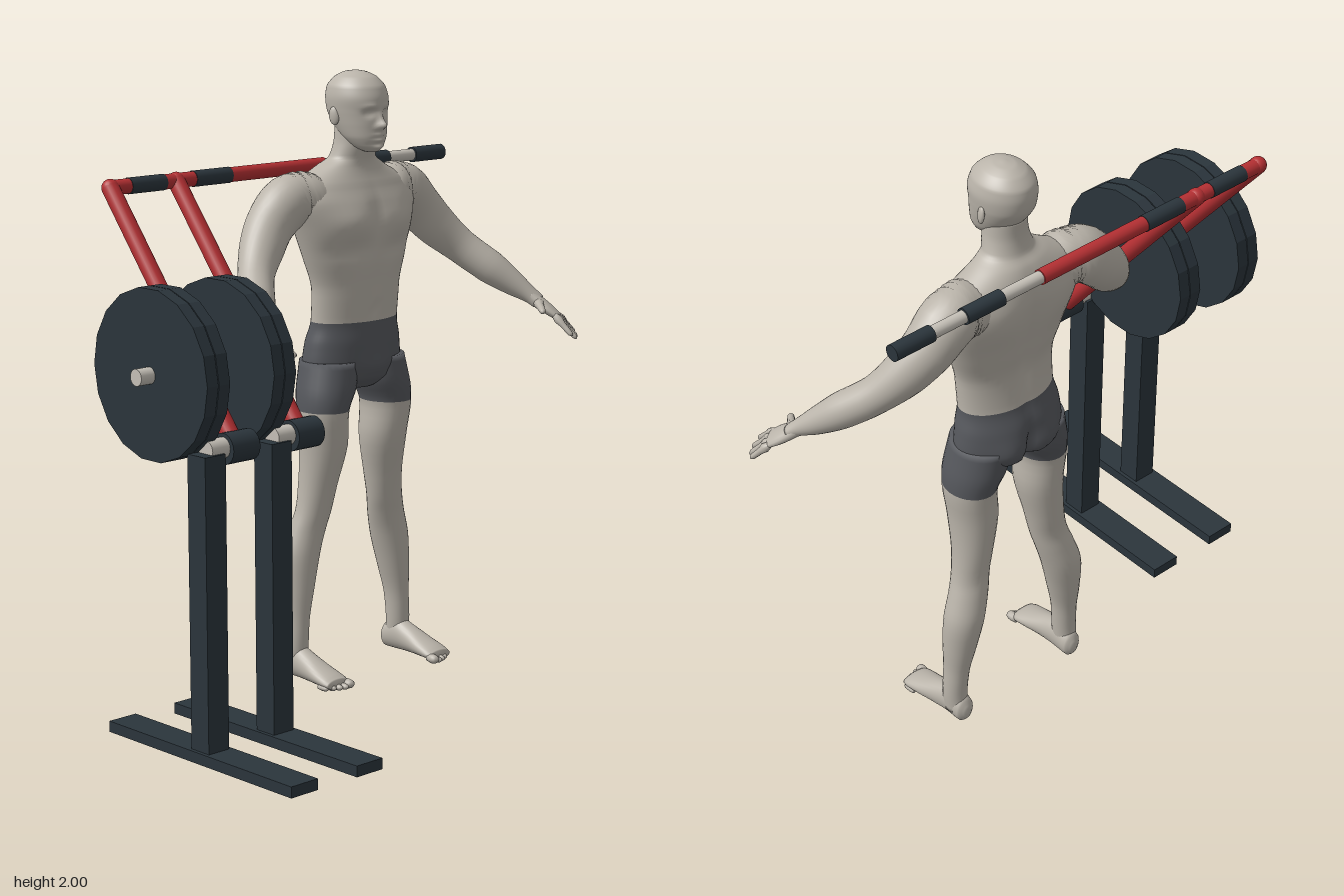
import * as THREE from 'three';
import { mergeGeometries } from 'three/addons/utils/BufferGeometryUtils.js';

const V = (x, y, z) => new THREE.Vector3(x, y, z);
const X = V(1, 0, 0), Y = V(0, 1, 0), Z = V(0, 0, 1);

// Smooth skin through elliptical rings [cx, cy, cz, a, b]; rows past ring "split" use the second material
function loft(rings, { dir = null, hint = X, n = 28, sub = 4, split = 0 } = {}) {
  const path = new THREE.CatmullRomCurve3(rings.map(r => V(r[0], r[1], r[2])));
  const size = new THREE.CatmullRomCurve3(rings.map(r => V(r[3], r[4], 0)));
  const rows = (rings.length - 1) * sub, pos = [], idx = [];
  for (let i = 0; i <= rows; i++) {
    const c = path.getPoint(i / rows), s = size.getPoint(i / rows);
    const t = dir || path.getTangent(i / rows);
    const u = hint.clone().addScaledVector(t, -hint.dot(t)).normalize();
    const v = u.clone().cross(t);
    for (let j = 0; j < n; j++) {
      const a = j / n * Math.PI * 2;
      const p = c.clone().addScaledVector(u, s.x * Math.cos(a)).addScaledVector(v, s.y * Math.sin(a));
      pos.push(p.x, p.y, p.z);
    }
  }
  const first = (rows + 1) * n;
  for (const i of [0, rings.length - 1]) pos.push(...rings[i].slice(0, 3));
  for (let j = 0; j < n; j++) idx.push(first, j, (j + 1) % n);
  for (let i = 0; i < rows; i++) for (let j = 0; j < n; j++) {
    const a = i * n + j, b = i * n + (j + 1) % n;
    idx.push(a, a + n, b, b, a + n, b + n);
  }
  for (let j = 0; j < n; j++) idx.push(first + 1, rows * n + (j + 1) % n, rows * n + j);
  const g = new THREE.BufferGeometry();
  g.setAttribute('position', new THREE.Float32BufferAttribute(pos, 3));
  g.setIndex(idx);
  if (split) {
    const cut = n * 3 + split * sub * n * 6;
    g.addGroup(0, cut, 0);
    g.addGroup(cut, idx.length - cut, 1);
  }
  g.computeVertexNormals();
  return g;
}

// Push the surface along z by soft mirrored bumps [x, y, widthX, widthY, side, amount]
function sculpt(g, zMid, bumps) {
  const p = g.attributes.position;
  for (let i = 0; i < p.count; i++) {
    const x = Math.abs(p.getX(i)), y = p.getY(i), z = p.getZ(i);
    let d = 0;
    for (const [bx, by, sx, sy, side, k] of bumps) {
      const f = Math.min(1, Math.max(0, (z - zMid) * side / 0.05));
      d += f * k * Math.exp(-(((x - bx) / sx) ** 2) - ((y - by) / sy) ** 2);
    }
    p.setZ(i, z + d);
  }
  g.computeVertexNormals();
  return g;
}

function mirrored(g) {
  const m = g.clone().scale(-1, 1, 1), ix = m.index;
  for (let i = 0; i < ix.count; i += 3) {
    const b = ix.getX(i + 1);
    ix.setX(i + 1, ix.getX(i + 2));
    ix.setX(i + 2, b);
  }
  m.computeVertexNormals();
  return m;
}

export function createModel() {
  const colour = (name, hex) => {
    const m = new THREE.MeshStandardMaterial({ color: hex });
    m.name = name;
    return m;
  };
  const skin = colour('skin', 0xbab4aa), shorts = colour('shorts grey', 0x56585d);
  const dark = colour('dark steel', 0x2b353c), red = colour('red paint', 0xb53033);
  const pale = colour('pale steel', 0xc6c1b8);
  const root = new THREE.Group(), man = new THREE.Group(), machine = new THREE.Group();
  man.name = 'man';
  man.position.x = 0.22;
  machine.name = 'liftingMachine';
  root.add(man, machine);
  const add = (parent, name, geo, mat) => {
    const m = new THREE.Mesh(geo, mat);
    m.name = name;
    parent.add(m);
    return m;
  };
  const pair = (name, geo, mat) => {
    add(man, 'left' + name, geo, mat);
    add(man, 'right' + name, mirrored(geo), mat);
  };
  const slice = ([y, a, zf, zb]) => [0, y, (zf + zb) / 2, a, (zf - zb) / 2];

  // Torso from crotch to neck, shorts below the waist
  const torso = loft([
    [0.965, 0.07, -0.28, -0.40], [1.0, 0.165, -0.25, -0.455], [1.05, 0.193, -0.237, -0.467],
    [1.12, 0.185, -0.235, -0.462], [1.19, 0.171, -0.24, -0.44], [1.30, 0.176, -0.235, -0.43],
    [1.40, 0.206, -0.225, -0.45], [1.50, 0.238, -0.222, -0.47], [1.58, 0.262, -0.235, -0.475],
    [1.64, 0.225, -0.26, -0.465], [1.69, 0.135, -0.28, -0.44], [1.72, 0.084, -0.28, -0.415],
    [1.77, 0.07, -0.27, -0.402], [1.83, 0.065, -0.27, -0.40]].map(slice),
  { dir: Y, n: 56, sub: 5, split: 4 });
  sculpt(torso, -0.345, [
    [0.10, 1.52, 0.085, 0.055, 1, 0.02], [0, 1.52, 0.02, 0.08, 1, -0.01], [0.1, 1.43, 0.08, 0.025, 1, -0.008],
    [0, 1.225, 0.012, 0.012, 1, -0.012], [0.05, 1.33, 0.04, 0.08, 1, 0.006], [0, 1.03, 0.05, 0.05, 1, 0.012],
    [0, 1.40, 0.025, 0.2, -1, 0.018], [0.13, 1.54, 0.07, 0.07, -1, -0.012],
    [0.085, 1.04, 0.06, 0.06, -1, -0.018], [0, 1.03, 0.02, 0.07, -1, 0.03]]);
  add(man, 'torso', torso, [shorts, skin]);

  // Head with face shaped from the same skin
  const head = loft([
    [1.742, 0.022, -0.235, -0.28], [1.76, 0.05, -0.22, -0.33], [1.79, 0.07, -0.215, -0.37],
    [1.83, 0.082, -0.215, -0.405], [1.87, 0.09, -0.215, -0.43], [1.91, 0.094, -0.213, -0.436],
    [1.95, 0.087, -0.226, -0.43], [1.98, 0.062, -0.256, -0.402], [1.995, 0.032, -0.29, -0.37],
    [2.0, 0.006, -0.325, -0.335]].map(slice), { dir: Y, n: 72, sub: 6 });
  sculpt(head, -0.30, [
    [0, 1.83, 0.012, 0.014, 1, 0.026], [0, 1.85, 0.009, 0.022, 1, 0.012], [0.014, 1.825, 0.009, 0.008, 1, 0.007],
    [0.035, 1.869, 0.016, 0.012, 1, -0.014], [0.035, 1.868, 0.009, 0.005, 1, 0.006],
    [0.034, 1.89, 0.024, 0.008, 1, 0.006], [0, 1.798, 0.022, 0.006, 1, 0.008], [0, 1.782, 0.02, 0.006, 1, 0.007],
    [0, 1.79, 0.026, 0.003, 1, -0.004], [0, 1.768, 0.03, 0.006, 1, -0.005], [0, 1.755, 0.02, 0.01, 1, 0.006]]);
  add(man, 'head', head, skin);
  const ear = new THREE.SphereGeometry(1, 14, 10).scale(0.009, 0.03, 0.018);
  ear.rotateY(-0.35).rotateX(-0.15).translate(0.091, 1.857, -0.335);
  pair('Ear', ear, skin);

  // Legs, skin up to the hem and shorts above
  pair('Leg', loft([
    [0.235, 0.04, -0.378, 0.035, 0.042], [0.235, 0.1, -0.373, 0.039, 0.041], [0.23, 0.2, -0.375, 0.04, 0.045],
    [0.22, 0.3, -0.38, 0.053, 0.056], [0.203, 0.42, -0.384, 0.067, 0.063], [0.18, 0.5, -0.376, 0.066, 0.058],
    [0.163, 0.56, -0.365, 0.064, 0.056], [0.148, 0.65, -0.358, 0.066, 0.065], [0.135, 0.78, -0.345, 0.077, 0.084],
    [0.142, 0.9, -0.34, 0.08, 0.095], [0.12, 0.98, -0.345, 0.093, 0.107], [0.105, 1.06, -0.35, 0.09, 0.105]],
  { dir: Y, split: 9 }), [skin, shorts]);

  // Feet with five toes
  const foot = [loft([
    [0.23, 0.042, -0.432, 0.012, 0.018], [0.231, 0.047, -0.415, 0.034, 0.044], [0.232, 0.058, -0.36, 0.038, 0.055],
    [0.235, 0.048, -0.30, 0.042, 0.045], [0.236, 0.035, -0.24, 0.049, 0.032], [0.236, 0.025, -0.19, 0.051, 0.022],
    [0.236, 0.02, -0.168, 0.046, 0.016]], { dir: Z })];
  for (let i = 0; i < 5; i++) {
    const r = i ? 0.0105 : 0.016;
    foot.push(loft([[0, 0, -0.022, r * 0.8, r * 0.8], [0, 0, 0, r, r], [0, 0, 0.015, r * 0.9, r * 0.8], [0, 0, 0.022, r * 0.3, r * 0.3]],
      { dir: Z, n: 10, sub: 2 }).translate(0.197 + i * 0.02, r, -0.163 - i * i * 0.002));
  }
  pair('Foot', mergeGeometries(foot), skin);

  // Arms hanging out and forward
  pair('Arm', loft([
    [0.13, 1.575, -0.365, 0.07, 0.08], [0.19, 1.595, -0.37, 0.085, 0.09], [0.255, 1.588, -0.378, 0.088, 0.088],
    [0.33, 1.525, -0.378, 0.08, 0.08], [0.395, 1.452, -0.35, 0.073, 0.07], [0.463, 1.38, -0.30, 0.059, 0.058],
    [0.525, 1.312, -0.225, 0.057, 0.056], [0.575, 1.255, -0.158, 0.041, 0.041], [0.606, 1.218, -0.11, 0.03, 0.026],
    [0.62, 1.198, -0.088, 0.03, 0.022]]), skin);

  // Hands: palm, four spread fingers and a thumb
  const across = V(-0.8, 0.1, 0.55);
  const hand = [loft([
    [0.602, 1.223, -0.115, 0.027, 0.022], [0.62, 1.198, -0.088, 0.034, 0.021], [0.638, 1.172, -0.055, 0.042, 0.018],
    [0.652, 1.152, -0.03, 0.04, 0.013], [0.656, 1.146, -0.024, 0.03, 0.006]], { hint: across, n: 18 })];
  const finger = (p, q, r) => {
    const at = (t, k) => [...p.clone().lerp(q, t).toArray(), r * k, r * k];
    hand.push(loft([at(0, 1), at(0.45, 1), at(0.9, 0.8), at(1, 0.3)], { hint: across, n: 10, sub: 2 }));
  };
  for (let i = 0; i < 4; i++) {
    const k = (i - 1.5) / 1.5, reach = [0.85, 1, 0.97, 0.8][i];
    const p = V(0.65, 1.156, -0.035).addScaledVector(across, -k * 0.031);
    finger(p, p.clone().add(V(0.03, -0.075, 0.07).addScaledVector(across, -k * 0.018).multiplyScalar(reach)), 0.0105);
  }
  finger(V(0.612, 1.2, -0.085), V(0.558, 1.178, -0.008), 0.013);
  pair('Hand', mergeGeometries(hand), skin);

  // Straight round bars between two points
  const rod = (name, mat, a, b, r, sides = 20) => {
    const d = b.clone().sub(a);
    const m = add(machine, name, new THREE.CylinderGeometry(r, r, d.length(), sides), mat);
    m.position.copy(a).addScaledVector(d, 0.5);
    m.quaternion.setFromUnitVectors(Y, d.normalize());
    return m;
  };
  const rodX = (name, mat, x0, x1, y, z, r) => rod(name, mat, V(x0, y, z), V(x1, y, z), r);

  // Shoulder bar in coloured lengths
  [[-0.67, -0.6, red], [-0.6, -0.46, dark], [-0.46, -0.34, red], [-0.34, -0.19, dark], [-0.19, 0.22, red],
    [0.22, 0.37, pale], [0.37, 0.51, dark], [0.51, 0.63, pale], [0.63, 0.77, dark]].forEach(([x0, x1, m], i) =>
    rodX('shoulderBar' + (i + 1), m, x0, x1, 1.68, -0.488, m === dark ? 0.026 : m === red ? 0.024 : 0.02));

  // Plate axle
  rodX('plateAxle', pale, -0.905, -0.39, 1.175, -0.088, 0.026);

  const plate = new THREE.CylinderGeometry(0.263, 0.263, 0.042, 18).toNonIndexed();
  plate.rotateZ(Math.PI / 2).computeVertexNormals();
  const box = (name, w, h, d, x, y, z) => add(machine, name, new THREE.BoxGeometry(w, h, d), dark).position.set(x, y, z);
  for (const [side, dx] of [['outer', 0], ['inner', 0.262]]) {
    // Lever arm, its rounded corner and its pivot
    const x = -0.669 + dx;
    rod(side + 'LeverArm', red, V(x, 1.68, -0.488), V(x, 0.96, 0.085), 0.028);
    add(machine, side + 'LeverCorner', new THREE.SphereGeometry(0.028, 20, 12), red).position.set(x, 1.68, -0.488);
    rodX(side + 'PivotSleeve', dark, x - 0.052, x + 0.053, 0.96, 0.088, 0.048);
    rodX(side + 'PivotPin', pale, x - 0.12, x - 0.05, 0.965, 0.088, 0.032);
    // Two weight plates
    [-0.832, -0.787].forEach((px, i) =>
      add(machine, side + 'Plate' + (i + 1), plate, dark).position.set(px + dx * 0.99, 1.175, -0.088));
    // Post on a hollow channel foot
    const s = -0.786 + dx;
    box(side + 'Post', 0.08, 0.915, 0.08, s, 0.4975, 0.088);
    box(side + 'FootTop', 0.105, 0.008, 0.84, s, 0.041, 0.088);
    for (const k of [-1, 1]) {
      box(side + 'FootSide', 0.008, 0.035, 0.84, s + k * 0.0485, 0.0275, 0.088);
      box(side + 'FootEnd', 0.105, 0.035, 0.008, s, 0.0275, 0.088 + k * 0.416);
    }
  }
  return root;
}
